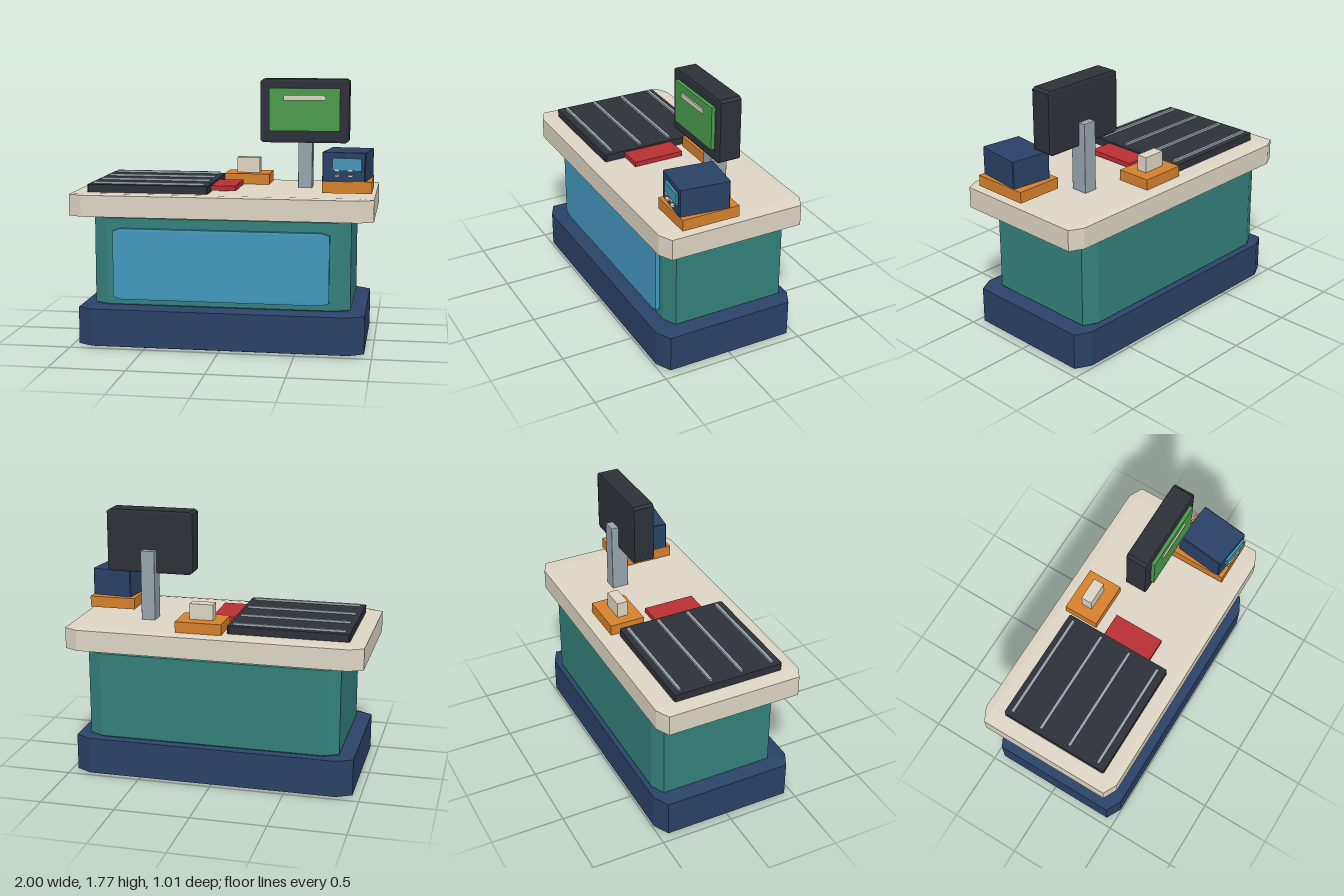
import * as THREE from 'three';
import { ConvexGeometry } from 'three/addons/geometries/ConvexGeometry.js';

const mat = (color) => new THREE.MeshStandardMaterial({ color, flatShading: true });
const MATS = {
  cream: mat(0xddd5c3), navy: mat(0x294266), teal: mat(0x33807a), blue: mat(0x4397bd),
  dark: mat(0x2d3138), orange: mat(0xd6802b), red: mat(0xb93034), steel: mat(0x98a4ac), green: mat(0x4a9b4c),
};

// Box whose edges are cut by a fraction of each side, so bevels stretch with the box
function bevelBox(w, h, d, f) {
  if (!f) return new THREE.BoxGeometry(w, h, d);
  const half = [w / 2, h / 2, d / 2];
  const points = [];
  for (let axis = 0; axis < 3; axis++)
    for (const sx of [-1, 1]) for (const sy of [-1, 1]) for (const sz of [-1, 1]) {
      const p = [sx, sy, sz].map((s, i) => s * half[i] * (i === axis ? 1 : 1 - 2 * f));
      points.push(new THREE.Vector3(...p));
    }
  return new ConvexGeometry(points);
}

// Adds a box spanning the given x, y and z ranges
function block(parent, name, color, [x0, x1], [y0, y1], [z0, z1], bevel = 0) {
  const mesh = new THREE.Mesh(bevelBox(x1 - x0, y1 - y0, z1 - z0, bevel), MATS[color]);
  mesh.position.set((x0 + x1) / 2, (y0 + y1) / 2, (z0 + z1) / 2);
  mesh.name = name;
  parent.add(mesh);
  return mesh;
}

export function createModel() {
  const model = new THREE.Group();
  model.name = 'checkoutCounter';

  // Counter body
  block(model, 'plinth', 'navy', [-0.95, 0.95], [0, 0.28], [-0.495, 0.495], 0.055);
  block(model, 'cabinet', 'teal', [-0.853, 0.853], [0.25, 0.9], [-0.47, 0.4], 0.055);
  block(model, 'frontPanel', 'blue', [-0.717, 0.717], [0.322, 0.798], [0.375, 0.43], 0.035);
  block(model, 'countertop', 'cream', [-1, 1], [0.877, 1.033], [-0.507, 0.505], 0.046);

  // Conveyor belt with raised slats
  const conveyor = new THREE.Group();
  conveyor.name = 'conveyor';
  model.add(conveyor);
  block(conveyor, 'belt', 'dark', [-0.893, -0.085], [1.03, 1.085], [-0.37, 0.393], 0.012);
  for (let i = 0; i < 4; i++) {
    const z = -0.322 + i * 0.219;
    block(conveyor, 'beltSlat', 'steel', [-0.862, -0.115], [1.075, 1.1], [z - 0.01, z + 0.01]);
  }

  // Items behind the belt
  block(model, 'redTray', 'red', [-0.095, 0.08], [1.04, 1.073], [-0.103, 0.25]);
  block(model, 'scaleBase', 'orange', [-0.06, 0.252], [1.03, 1.106], [-0.42, -0.18]);
  block(model, 'scaleBlock', 'cream', [0.015, 0.175], [1.1, 1.212], [-0.337, -0.262]);

  // Display on a post
  const display = new THREE.Group();
  display.name = 'display';
  model.add(display);
  block(display, 'displayPost', 'steel', [0.465, 0.56], [1.03, 1.506], [-0.167, -0.05], 0.01);
  block(display, 'displayCase', 'dark', [0.215, 0.81], [1.347, 1.772], [-0.117, 0.036], 0.035);
  block(display, 'displayScreen', 'green', [0.277, 0.75], [1.427, 1.711], [0.02, 0.06]);
  block(display, 'screenBar', 'cream', [0.375, 0.65], [1.632, 1.661], [0.05, 0.07]);

  // Payment terminal, turned slightly on its stand
  block(model, 'terminalStand', 'orange', [0.66, 0.98], [1.056, 1.132], [-0.018, 0.378]);
  const terminal = new THREE.Group();
  terminal.name = 'paymentTerminal';
  terminal.position.set(0.818, 0, 0.196);
  terminal.rotation.y = -0.12;
  model.add(terminal);
  block(terminal, 'terminalBody', 'navy', [-0.141, 0.141], [1.127, 1.32], [-0.167, 0.167], 0.02);
  block(terminal, 'terminalScreen', 'blue', [-0.072, 0.118], [1.202, 1.282], [0.15, 0.182]);
  for (const x of [-0.04, 0.047]) for (const y of [1.168, 1.203])
    block(terminal, 'terminalKey', 'cream', [x - 0.015, x + 0.015], [y - 0.007, y + 0.007], [0.155, 0.19]);

  return model;
}
